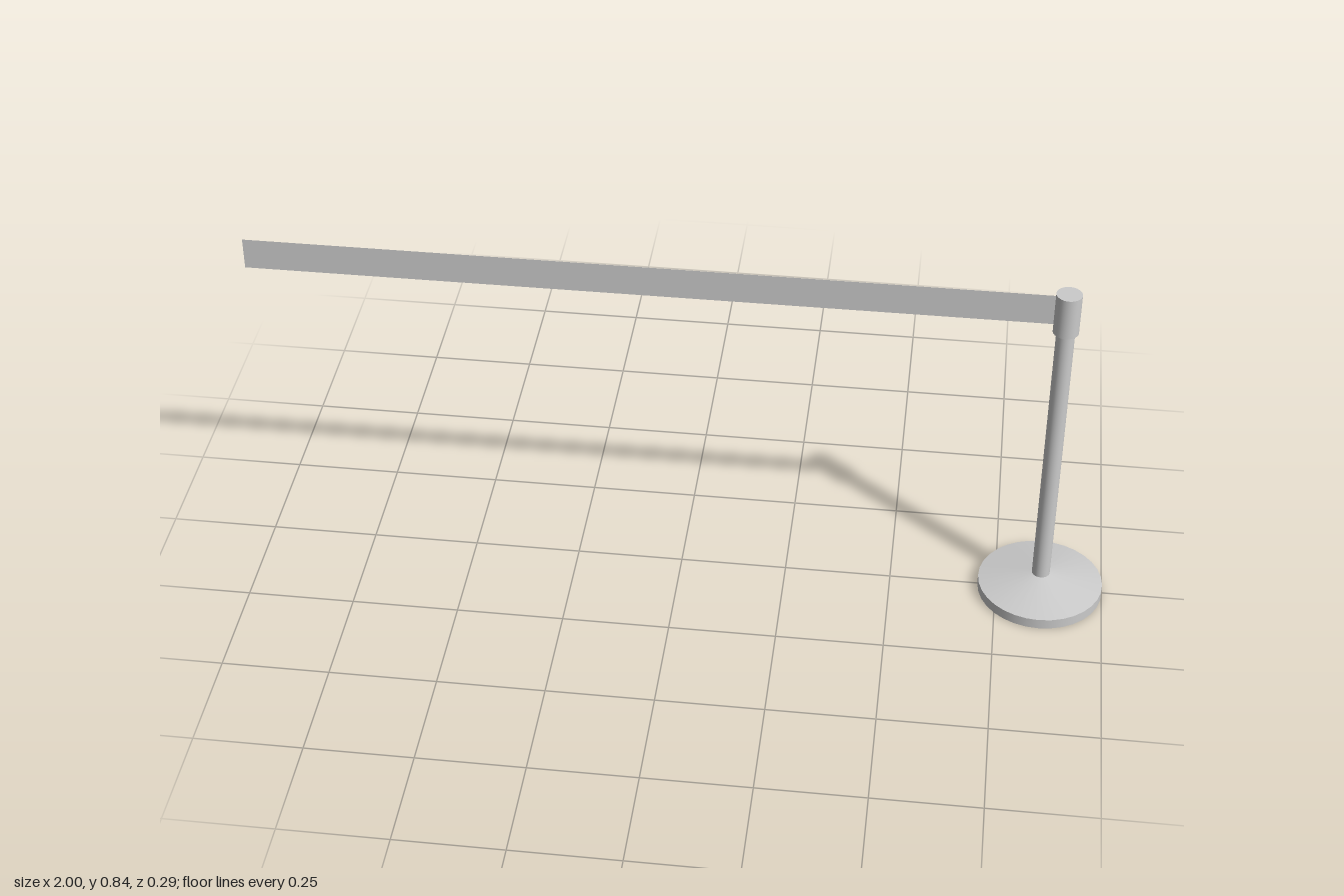
import * as THREE from 'three';

const SEGMENTS = 32;
const POST_X = 0.854;

export function createModel() {
  const model = new THREE.Group();
  model.name = 'barrierPost';
  const material = new THREE.MeshStandardMaterial({ color: 0xcccccc });

  // Upright round part spanning y0 to y1 on the post axis
  function addRound(name, rBottom, rTop, y0, y1, open = false) {
    const geometry = new THREE.CylinderGeometry(rTop, rBottom, y1 - y0, SEGMENTS, 1, open);
    const mesh = new THREE.Mesh(geometry, material);
    mesh.name = name;
    mesh.position.set(POST_X, (y0 + y1) / 2, 0);
    model.add(mesh);
  }

  // Weighted base: a low disc with a sloping cover
  addRound('baseDisc', 0.146, 0.146, 0, 0.025);
  addRound('baseCover', 0.146, 0.021, 0.025, 0.05, true);

  // Pole and belt head
  addRound('pole', 0.021, 0.021, 0.05, 0.74, true);
  addRound('beltHead', 0.029, 0.029, 0.74, 0.84);

  // Flat belt pulled out from the head
  const beltStart = -1, beltEnd = POST_X - 0.028;
  const beltMaterial = material.clone();
  beltMaterial.side = THREE.DoubleSide;
  const belt = new THREE.Mesh(new THREE.PlaneGeometry(beltEnd - beltStart, 0.075), beltMaterial);
  belt.name = 'belt';
  belt.position.set((beltStart + beltEnd) / 2, 0.796, 0);
  model.add(belt);

  return model;
}
